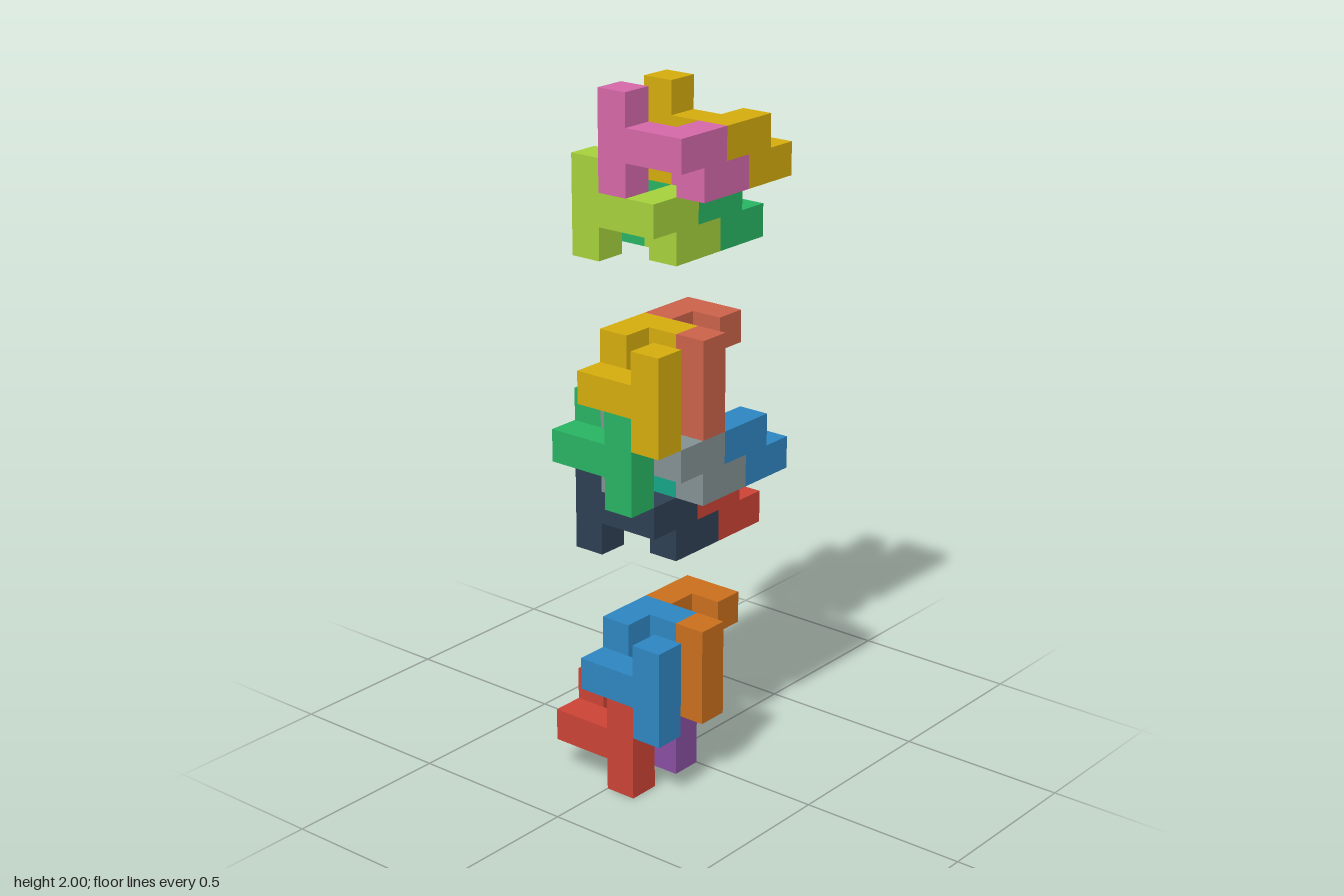
import * as THREE from 'three';
import { mergeGeometries } from 'three/addons/utils/BufferGeometryUtils.js';

const U = 2 / 21; // edge of one cube cell

// Cells of the nine-cube piece, relative to the middle of its post
const CELLS = [
  [0, -1, 0], [0, 0, 0], [0, 1, 0], // post
  [0, 0, 1], [0, 0, 2],             // arm
  [1, 0, 2], [1, -1, 2],            // step
  [2, -1, 2], [2, -1, 1],           // hook
];

// Outer skin of the piece: one square per cell side that has no neighbour
function pieceGeometry() {
  const filled = new Set(CELLS.map(String));
  const front = new THREE.Vector3(0, 0, 1);
  const faces = [];
  for (const cell of CELLS) {
    for (const axis of [0, 1, 2]) {
      for (const sign of [-1, 1]) {
        const next = [...cell];
        next[axis] += sign;
        if (filled.has(String(next))) continue;
        const dir = new THREE.Vector3().setComponent(axis, sign);
        const turn = new THREE.Quaternion().setFromUnitVectors(front, dir);
        const centre = new THREE.Vector3(...cell).addScaledVector(dir, 0.5).multiplyScalar(U);
        faces.push(new THREE.PlaneGeometry(U, U).applyQuaternion(turn).translate(...centre.toArray()));
      }
    }
  }
  return mergeGeometries(faces);
}

// Layers of four interlocking pieces: [name, color, column, level, depth] of the post middle
const UPRIGHT = [
  ['yellow', 0xd4ac0d, 3, 19, 1],
  ['pink', 0xd468a8, 1, 19, 1],
  ['green', 0x28b463, 3, 17, 0],
  ['lime', 0xa6d13c, 1, 17, 0],
  ['blue', 0x2e86c1, 3, 10, 1],
  ['grey', 0x839192, 1, 10, 1],
  ['red', 0xcb4335, 3, 8, 0],
  ['dark', 0x2e4053, 1, 8, 0],
];
const FLIPPED = [
  ['salmon', 0xca6249, 2, 12, 3],
  ['yellow', 0xd4ac0d, 0, 12, 3],
  ['teal', 0x17a589, 2, 10, 2],
  ['green', 0x28b463, 0, 10, 2],
  ['orange', 0xca6f1e, 2, 3, 3],
  ['blue', 0x2e86c1, 0, 3, 3],
  ['purple', 0x884ea0, 2, 1, 2],
  ['red', 0xcb4335, 0, 1, 2],
];

export function createModel() {
  const model = new THREE.Group();
  model.name = 'interlockingCubePieces';
  const geometry = pieceGeometry();

  const addPieces = (list, kind, turn) => {
    for (const [name, color, i, j, k] of list) {
      const piece = new THREE.Mesh(geometry, new THREE.MeshStandardMaterial({ color }));
      piece.name = `${name}${kind}Piece`;
      piece.position.set((i - 2.5) * U, (j + 0.5) * U, (k - 1.5) * U);
      piece.rotation.x = turn;
      model.add(piece);
    }
  };
  addPieces(UPRIGHT, 'Upright', 0);
  addPieces(FLIPPED, 'Flipped', Math.PI);
  return model;
}
